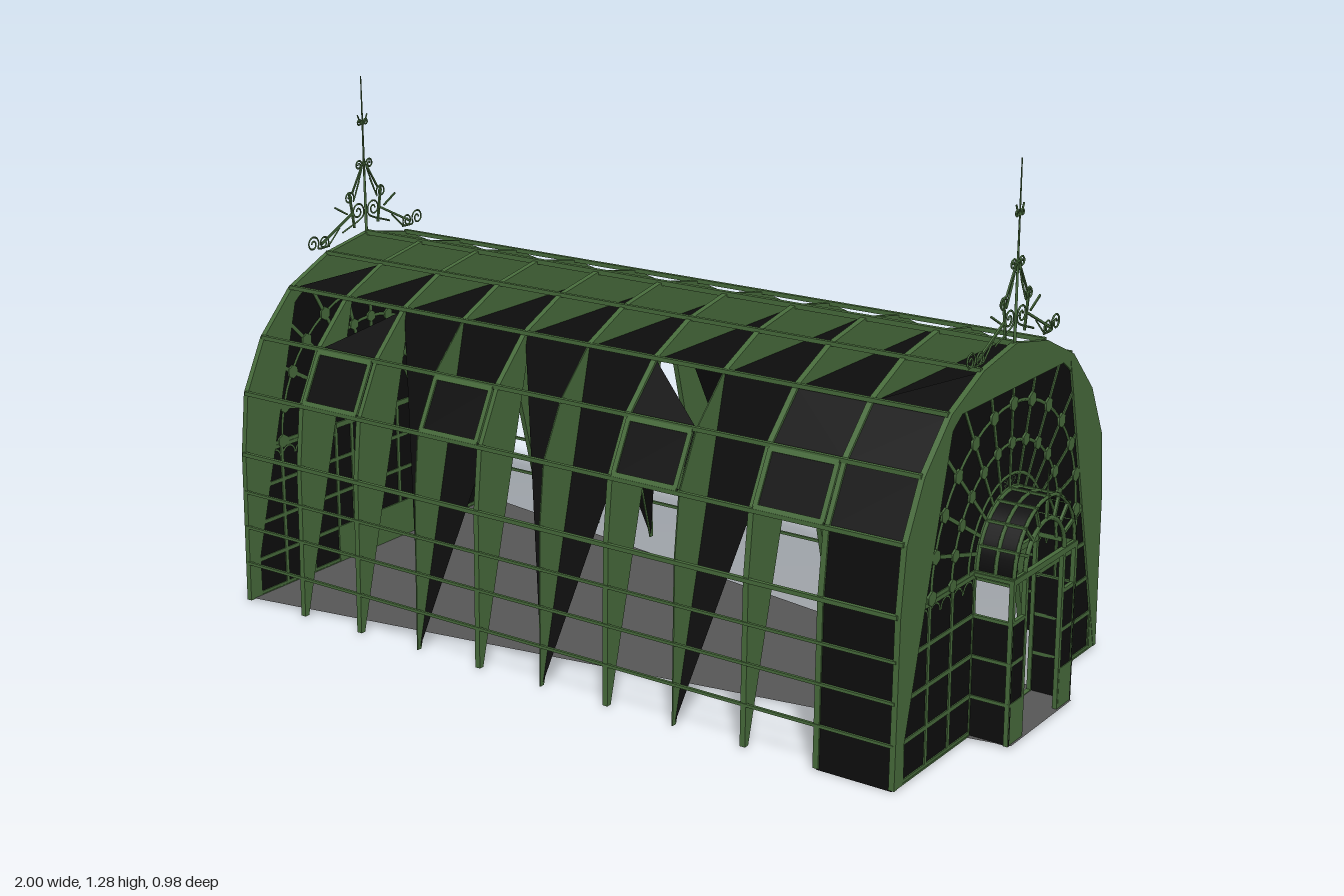
import * as THREE from 'three';

const mat = (name, color) => {
  const m = new THREE.MeshStandardMaterial({ color, side: THREE.DoubleSide });
  m.name = name;
  return m;
};

export function createModel() {
  const root = new THREE.Group();
  root.name = 'greenhouse';
  const green = mat('green iron', 0x476b3b);
  const black = mat('dark glass', 0x0d0d0d);
  const gray = mat('gray floor', 0x575757);

  const add = (parent, name, geo, m) => {
    const mesh = new THREE.Mesh(geo, m);
    mesh.name = name;
    parent.add(mesh);
    return mesh;
  };
  // flat polygon through 3D corners
  const pane = (parent, name, m, pts) => {
    const v = [];
    for (let i = 1; i < pts.length - 1; i++) v.push(...pts[0], ...pts[i], ...pts[i + 1]);
    const g = new THREE.BufferGeometry();
    g.setAttribute('position', new THREE.Float32BufferAttribute(v, 3));
    g.computeVertexNormals();
    return add(parent, name, g, m);
  };
  const plate = (parent, name, m, shape, depth, z = 0) => {
    const g = new THREE.ExtrudeGeometry(shape, { depth, bevelEnabled: false, curveSegments: 20 });
    g.translate(0, 0, z);
    return add(parent, name, g, m);
  };
  const shapeOf = pts => new THREE.Shape(pts.map(p => new THREE.Vector2(...p)));
  // bar in a local XY plane
  const bar = (parent, name, a, b, w, d = w, z = 0) => {
    const dx = b[0] - a[0], dy = b[1] - a[1];
    const mesh = add(parent, name, new THREE.BoxGeometry(Math.hypot(dx, dy), w, d), green);
    mesh.position.set((a[0] + b[0]) / 2, (a[1] + b[1]) / 2, z);
    mesh.rotation.z = Math.atan2(dy, dx);
  };
  const arc = (parent, name, x, y, r, t, z = 0) =>
    add(parent, name, new THREE.TorusGeometry(r, t, 4, 24, Math.PI), green).position.set(x, y, z);
  // scroll: spiral wire ending in a tail point
  const scroll = (parent, cx, cy, r, side, tail) => {
    const pts = [];
    for (let i = 0; i <= 18; i++) {
      const t = i / 18, a = t * Math.PI * 3.2;
      pts.push(new THREE.Vector3(side * (cx + r * (0.2 + 0.8 * t) * Math.cos(a)), cy + r * (0.2 + 0.8 * t) * Math.sin(a), 0));
    }
    pts.push(new THREE.Vector3(side * tail[0], tail[1], 0));
    add(parent, 'scroll', new THREE.TubeGeometry(new THREE.CatmullRomCurve3(pts), 50, 0.0025, 4), green);
  };

  // half cross-section, (z, y) from foot to ridge
  const P = [[0.488, 0], [0.48, 0.39], [0.462, 0.545], [0.395, 0.675], [0.288, 0.782], [0.15, 0.845], [0, 0.873]];
  const mirror = pts => pts.map(([z, y]) => [-z, y]);
  const outline = [...P, ...mirror(P.slice(0, 6)).reverse()];
  const X = i => -0.993 + i * 0.1886;
  const N = 10;

  // floor, tapering towards the porch
  pane(root, 'floor', gray, [[-1, 0.002, 0.478], [1, 0.002, 0.15], [1, 0.002, -0.15], [-1, 0.002, -0.478]]);

  // ribs: crescent plates between the arch and its inner chords
  for (let i = 0; i <= N; i++) {
    const rib = new THREE.Group();
    rib.name = 'rib';
    rib.position.x = X(i);
    rib.rotation.y = Math.PI / 2;
    const d = [3, 5, 7].includes(i) ? 0.003 : 0.014;
    const side = [...P.slice(0, 5), [0.273, 0.772], [0.475, 0]];
    plate(rib, 'ribSide', green, shapeOf(side), d, -d / 2);
    plate(rib, 'ribSide', green, shapeOf(mirror(side)), d, -d / 2);
    const top = [...P.slice(4), ...mirror(P.slice(4, 6)).reverse(), [-0.28, 0.772], [0.28, 0.772]];
    plate(rib, 'ribCrown', green, shapeOf(top), 0.014, -0.007);
    root.add(rib);
  }

  // rails running the length of the house
  const rails = [[0.484, 0.1], [0.483, 0.197], [0.481, 0.29], ...P.slice(1, 6)];
  const len = X(N) - X(0);
  const rail = (z, y, t) => add(root, 'rail', new THREE.BoxGeometry(len, t, t), green).position.set((X(0) + X(N)) / 2, y, z);
  rails.forEach(([z, y], i) => [1, -1].forEach(s => rail(s * z, y, i < 3 ? 0.007 : 0.01)));
  rail(0, 0.871, 0.012);

  // inner flat ceiling
  const cy = 0.778, cz = 0.284;
  pane(root, 'ceiling', black, [[X(1), cy, cz], [X(N), cy, cz], [X(N), cy, -cz], [X(1), cy, -cz]]);

  for (const s of [1, -1]) {
    const at = (i, k, inset = 0.004) => [X(i), P[k][1] - inset, s * (P[k][0] - inset)];
    const foot = i => [X(i), 0, s * 0.48];
    // hanging triangular panes
    for (const [l, m, r] of [[2, 3, 4], [4, 5, 6], [7, 7, 8]]) {
      pane(root, 'slopingPane', black, [at(l, 4), foot(m), at(r, 4)]);
    }
    // partial panes of the upper band and the end bays
    pane(root, 'upperPane', black, [at(2, 4), at(2, 3), at(1, 3)]);
    pane(root, 'upperPane', black, [at(6, 4), at(6, 3), at(7, 3)]);
    pane(root, 'upperPane', black, [at(8, 4), at(9, 4), at(9, 3), at(8, 3)]);
    pane(root, 'crownPane', black, [at(0, 4), at(1, 4), at(1, 5)]);
    pane(root, 'crownPane', black, [at(9, 4), at(10, 4), at(10, 5)]);
    for (let k = 0; k < 4; k++) pane(root, 'endBayPane', black, [at(9, k), at(10, k), at(10, k + 1), at(9, k + 1)]);
    // framed vents in the shoulder
    for (const i of [1, 3, 6, 8]) {
      const vent = new THREE.Group();
      vent.name = 'vent';
      vent.position.set((X(i) + X(i + 1)) / 2, (P[2][1] + P[3][1]) / 2, s * (P[2][0] + P[3][0]) / 2);
      vent.rotation.order = 'YXZ';
      vent.rotation.y = s > 0 ? 0 : Math.PI;
      vent.rotation.x = -Math.atan2(P[2][0] - P[3][0], P[3][1] - P[2][1]);
      add(vent, 'ventGlass', new THREE.BoxGeometry(0.18, 0.14, 0.004), black);
      for (const e of [1, -1]) {
        bar(vent, 'ventFrame', [-0.088, e * 0.065], [0.088, e * 0.065], 0.012);
        bar(vent, 'ventFrame', [e * 0.084, -0.065], [e * 0.084, 0.065], 0.012);
      }
      root.add(vent);
    }
  }

  // end walls
  const buildEnd = (x, turn, open) => {
    const end = new THREE.Group();
    end.name = open ? 'entranceWall' : 'rearWall';
    end.position.x = x;
    end.rotation.y = turn;
    const R = 0.45, C = 0.39;
    const glass = new THREE.Shape();
    glass.moveTo(-R, 0);
    if (open) [[-0.15, 0], [-0.15, C], [0.15, C], [0.15, 0]].forEach(p => glass.lineTo(...p));
    glass.lineTo(R, 0);
    glass.lineTo(R, C);
    glass.absarc(0, C, R, 0, Math.PI);
    plate(end, 'wallGlass', black, glass, 0.004, -0.002);
    // rim between the glass and the outer arch
    const rim = shapeOf(outline);
    const hole = new THREE.Path();
    hole.moveTo(-R, 0.004);
    hole.lineTo(R, 0.004);
    hole.lineTo(R, C);
    hole.absarc(0, C, R, 0, Math.PI);
    rim.holes.push(hole);
    plate(end, 'wallRim', green, rim, 0.012, -0.006);
    // lower grid
    for (const s of [1, -1]) {
      for (const u of [0.45, 0.35, 0.25, 0.15]) bar(end, 'mullion', [s * u, 0], [s * u, C], 0.01);
      for (const y of [0.006, 0.097, 0.193, 0.288, 0.38]) bar(end, 'transom', [s * 0.15, y], [s * R, y], 0.01);
      for (const u of [0.2, 0.3, 0.4]) {
        arc(end, 'smallArch', s * (u + 0.024), 0.35, 0.022, 0.004);
        arc(end, 'smallArch', s * (u - 0.024), 0.35, 0.022, 0.004);
      }
    }
    bar(end, 'transom', [-0.15, 0.38], [0.15, 0.38], 0.014);
    // fan of arcs, spokes and rosettes
    for (const r of [0.15, 0.18, 0.255, 0.345]) arc(end, 'fanArc', 0, C, r, 0.006);
    for (let i = 0; i <= 12; i++) {
      const a = i * Math.PI / 12, c = Math.cos(a), n = Math.sin(a);
      bar(end, 'spoke', [0.15 * c, C + 0.15 * n], [0.46 * c, C + 0.46 * n], 0.009);
      for (const [r, size] of [[0.255, 0.016], [0.345, 0.018]]) {
        const dot = add(end, 'rosette', new THREE.CylinderGeometry(size, size, 0.014, 6), green);
        dot.position.set(r * c, C + r * n, 0);
        dot.rotation.x = Math.PI / 2;
      }
    }
    // closed double door
    if (!open) {
      add(end, 'doorPanel', new THREE.BoxGeometry(0.31, 0.1, 0.012), green).position.y = 0.05;
      for (const u of [-0.09, 0, 0.09]) bar(end, 'doorStile', [u, 0], [u, C], u ? 0.01 : 0.006);
      for (const y of [0.193, 0.288]) bar(end, 'doorRail', [-0.15, y], [0.15, y], 0.01);
      add(end, 'doorHandle', new THREE.BoxGeometry(0.012, 0.05, 0.016), green).position.set(0.006, 0.17, 0);
    }
    // roof crest with spire
    const pole = add(end, 'spire', new THREE.CylinderGeometry(0.0015, 0.004, 0.41, 6), green);
    pole.position.y = 1.075;
    for (const s of [1, -1]) {
      scroll(end, 0.2, 0.875, 0.022, s, [0.14, 0.86]);
      scroll(end, 0.16, 0.872, 0.018, s, [0.1, 0.9]);
      scroll(end, 0.03, 0.93, 0.024, s, [0.09, 0.885]);
      scroll(end, 0.06, 0.97, 0.018, s, [0.02, 1.01]);
      scroll(end, 0.02, 1.05, 0.014, s, [0.035, 0.98]);
      scroll(end, 0.012, 1.16, 0.009, s, [0.018, 1.18]);
      bar(end, 'crestBar', [s * 0.05, 0.93], [s * 0.17, 0.87], 0.005);
      bar(end, 'crestBar', [s * 0.06, 0.985], [s * 0.045, 0.89], 0.005);
      bar(end, 'crestBar', [0, 1.06], [s * 0.05, 0.98], 0.004);
      bar(end, 'crestBar', [s * 0.07, 0.93], [s * 0.115, 0.955], 0.004);
    }
    root.add(end);
  };
  buildEnd(X(N), Math.PI / 2, true);
  buildEnd(X(0), -Math.PI / 2, false);

  // porch with open doorway and barrel roof
  const porch = new THREE.Group();
  porch.name = 'porch';
  porch.position.x = 0.893;
  porch.rotation.y = Math.PI / 2;
  const D = 0.102;
  for (const s of [1, -1]) {
    add(porch, 'porchSide', new THREE.BoxGeometry(0.004, 0.288, D), black).position.set(s * 0.15, 0.144, D / 2);
    for (const y of [0.097, 0.193, 0.288, 0.385]) {
      add(porch, 'porchRail', new THREE.BoxGeometry(0.008, 0.008, D), green).position.set(s * 0.152, y, D / 2);
    }
    add(porch, 'sideLight', new THREE.BoxGeometry(0.06, 0.28, 0.004), black).position.set(s * 0.12, 0.145, D - 0.004);
    add(porch, 'sidePanel', new THREE.BoxGeometry(0.06, 0.1, 0.008), green).position.set(s * 0.12, 0.05, D - 0.004);
    for (const u of [0.15, 0.09]) bar(porch, 'porchPost', [s * u, 0], [s * u, 0.385], 0.011, 0.011, D - 0.006);
    for (const y of [0.193, 0.288]) bar(porch, 'sideLightBar', [s * 0.09, y], [s * 0.15, y], 0.009, 0.009, D - 0.006);
    scroll(porch, 0.02, 0.555, 0.01, s, [0.04, 0.535]);
  }
  bar(porch, 'lintel', [-0.155, 0.385], [0.155, 0.385], 0.014, 0.012, D - 0.006);
  const barrel = new THREE.CylinderGeometry(0.147, 0.147, D, 12, 1, true, Math.PI / 2, Math.PI);
  barrel.rotateX(Math.PI / 2);
  add(porch, 'barrelRoof', barrel, black).position.set(0, 0.39, D / 2);
  for (const z of [0.006, D / 2, D - 0.006]) arc(porch, 'porchArch', 0, 0.39, 0.147, 0.005, z);
  arc(porch, 'innerArch', 0, 0.39, 0.095, 0.006, D - 0.006);
  for (let i = 0; i <= 8; i++) {
    const a = i * Math.PI / 8, c = Math.cos(a), n = Math.sin(a);
    add(porch, 'roofRail', new THREE.BoxGeometry(0.006, 0.006, D), green).position.set(0.149 * c, 0.39 + 0.149 * n, D / 2);
    bar(porch, 'archSpoke', [0.095 * c, 0.39 + 0.095 * n], [0.147 * c, 0.39 + 0.147 * n], 0.007, 0.007, D - 0.006);
  }
  const spike = add(porch, 'porchSpire', new THREE.CylinderGeometry(0.001, 0.003, 0.07, 6), green);
  spike.position.set(0, 0.57, D - 0.006);
  root.add(porch);

  return root;
}
